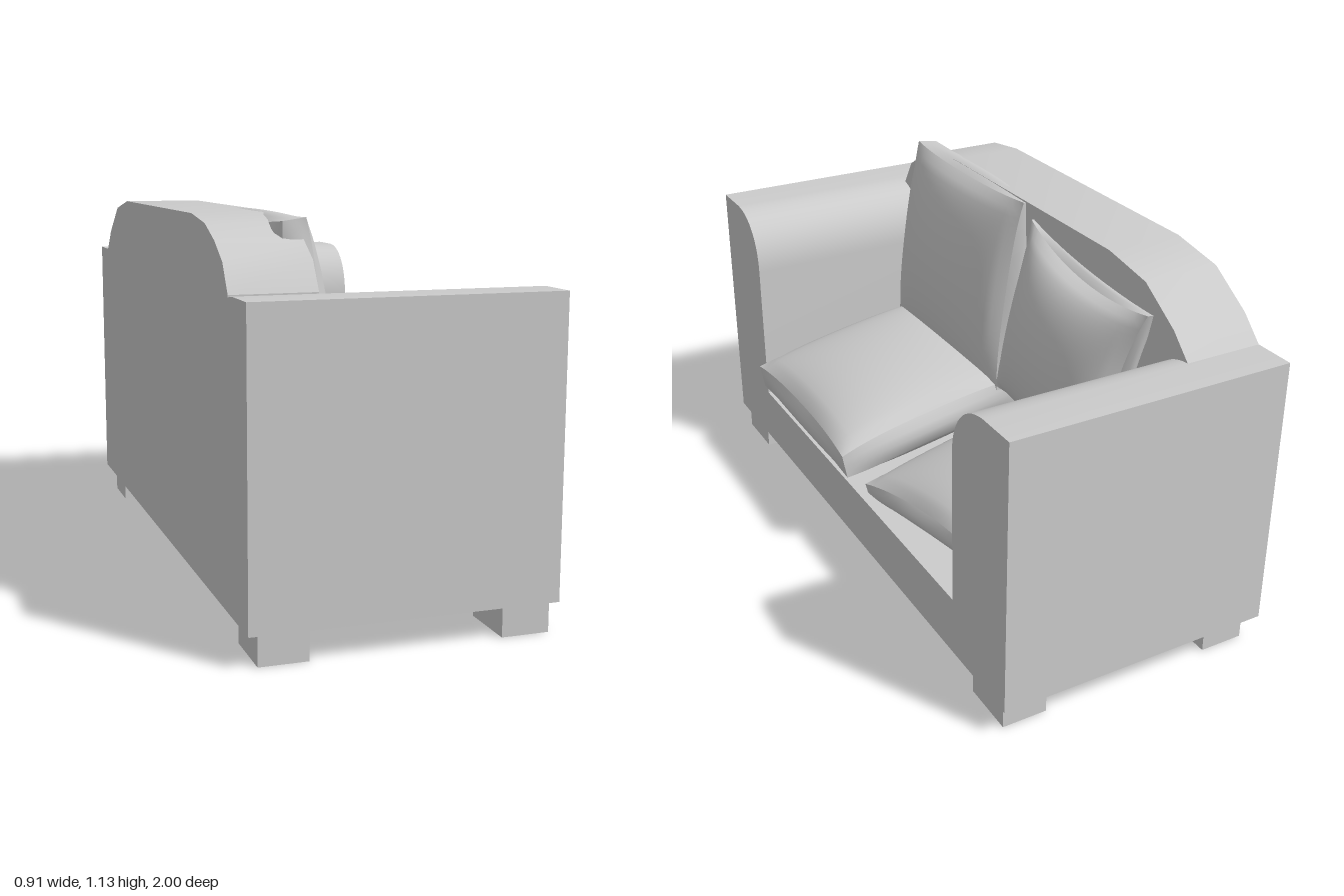
import * as THREE from 'three';
import { toCreasedNormals } from 'three/addons/utils/BufferGeometryUtils.js';

const material = new THREE.MeshStandardMaterial({ color: 0xcccccc });
const BACK = -0.46, FRONT = 0.42;

function add(parent, name, geometry) {
  const mesh = new THREE.Mesh(geometry, material);
  mesh.name = name;
  parent.add(mesh);
  return mesh;
}

// Box given by its minimum and maximum corners
function block(parent, name, [x0, y0, z0], [x1, y1, z1]) {
  const mesh = add(parent, name, new THREE.BoxGeometry(x1 - x0, y1 - y0, z1 - z0));
  mesh.position.set((x0 + x1) / 2, (y0 + y1) / 2, (z0 + z1) / 2);
  return mesh;
}

// Profile drawn in (-z, y) and extruded along x
function extrudeX(parent, name, shape, x0, x1) {
  const geometry = new THREE.ExtrudeGeometry(shape, { depth: x1 - x0, bevelEnabled: false, curveSegments: 14 });
  geometry.rotateY(Math.PI / 2);
  geometry.translate(x0, 0, 0);
  return add(parent, name, toCreasedNormals(geometry, 0.5));
}

// Stuffed cushion lying flat: puffed middle, narrow edge band, pinched sides
function cushion(parent, name, { halfX, halfZ, puff, edge, pinch, position, rotation }) {
  const geometry = new THREE.BoxGeometry(2, 2, 2, 24, 4, 24);
  const p = geometry.attributes.position;
  for (let i = 0; i < p.count; i++) {
    const u = p.getX(i), t = p.getY(i), v = p.getZ(i);
    const round = Math.pow(Math.max(0, (1 - u * u) * (1 - v * v)), 0.6);
    const swell = 0.025 * (1 - t * t);
    const x = u * (halfX - pinch * (1 - v * v) * u * u + swell * (1 - v * v) * u * u);
    const z = v * (halfZ - pinch * (1 - u * u) * v * v + swell * (1 - u * u) * v * v);
    const rim = edge * (0.75 + 0.25 * (1 - Math.pow(u * v, 4)));
    p.setXYZ(i, x, t * (rim + (puff - edge) * round), z);
  }
  geometry.computeVertexNormals();
  const mesh = add(parent, name, geometry);
  mesh.position.set(...position);
  mesh.rotation.set(...rotation, 'ZYX');
}

export function createModel() {
  const sofa = new THREE.Group();
  sofa.name = 'sofa';

  // Base
  block(sofa, 'base', [BACK, 0.09, -1], [FRONT, 0.275, 1]);

  // Arms with a rounded inner top edge
  for (const s of [-1, 1]) {
    const arm = new THREE.Shape();
    arm.moveTo(-s, 0.275);
    arm.lineTo(-s, 0.94);
    arm.lineTo(-s * 0.87, 0.94);
    arm.bezierCurveTo(-s * 0.77, 0.935, -s * 0.705, 0.86, -s * 0.705, 0.75);
    arm.lineTo(-s * 0.705, 0.275);
    extrudeX(sofa, s > 0 ? 'leftSideArm' : 'rightSideArm', arm, BACK, FRONT);
  }

  // Backrest with sloping shoulders
  const back = new THREE.Shape([
    [-0.83, 0.275], [-0.83, 0.94], [-0.78, 1.02], [-0.7, 1.07], [-0.6, 1.11], [-0.45, 1.13],
    [0.48, 1.13], [0.66, 1.1], [0.8, 1.01], [0.88, 0.93], [0.88, 0.275],
  ].map(([a, b]) => new THREE.Vector2(a, b)));
  extrudeX(sofa, 'backrest', back, BACK, -0.215);

  // Feet
  for (const [x0, x1] of [[-0.43, -0.29], [0.26, 0.4]])
    for (const [z0, z1] of [[-0.96, -0.79], [0.8, 0.98]])
      block(sofa, 'foot', [x0, 0, z0], [x1, 0.09, z1]);

  // Loose seat cushions
  cushion(sofa, 'leftSeatCushion', {
    halfX: 0.335, halfZ: 0.36, puff: 0.135, edge: 0.055, pinch: 0.015,
    position: [0.11, 0.41, 0.34], rotation: [0, 0, -0.18],
  });
  cushion(sofa, 'rightSeatCushion', {
    halfX: 0.32, halfZ: 0.325, puff: 0.1, edge: 0.035, pinch: 0.025,
    position: [0.06, 0.39, -0.375], rotation: [0.16, 0.08, -0.17],
  });

  // Loose back cushions leaning on the backrest
  cushion(sofa, 'leftBackCushion', {
    halfX: 0.325, halfZ: 0.36, puff: 0.125, edge: 0.045, pinch: 0.012,
    position: [-0.195, 0.8, 0.34], rotation: [0, 0, -Math.PI / 2 + 0.14],
  });
  cushion(sofa, 'rightBackCushion', {
    halfX: 0.3, halfZ: 0.32, puff: 0.135, edge: 0.025, pinch: 0.045,
    position: [-0.175, 0.755, -0.355], rotation: [0, -0.11, -Math.PI / 2 + 0.15],
  });

  return sofa;
}
